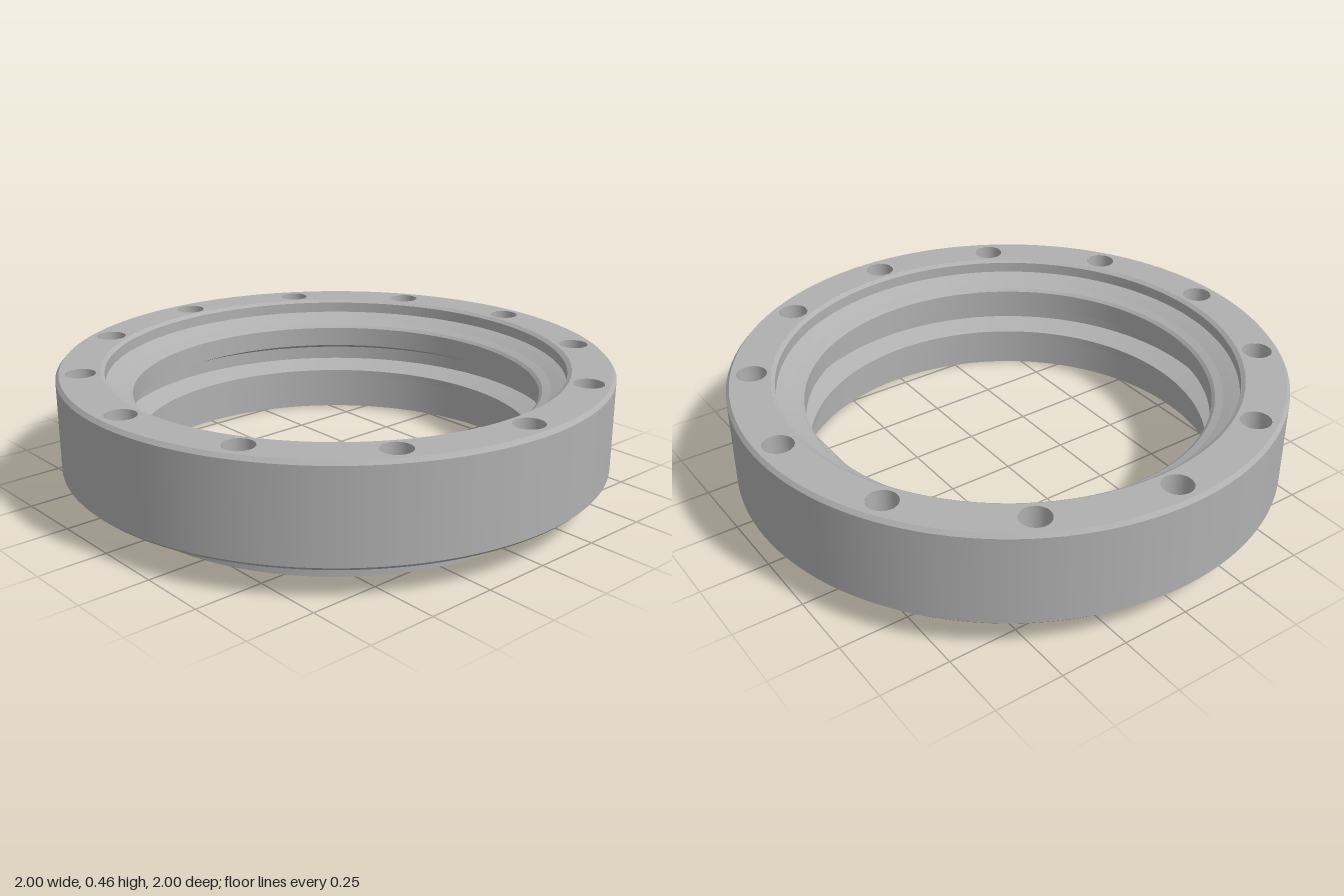
import * as THREE from 'three';
import { mergeGeometries } from 'three/addons/utils/BufferGeometryUtils.js';

const SEGMENTS = 128;
const TOP = 0.46, FLANGE_BOTTOM = 0.105;

// Lathe each span on its own, so every ring edge stays sharp
function turned(profile, segments = SEGMENTS) {
  const spans = [];
  for (let i = 0; i < profile.length - 1; i++) {
    const pair = [profile[i], profile[i + 1]].map(([r, y]) => new THREE.Vector2(r, y));
    spans.push(new THREE.LatheGeometry(pair, segments));
  }
  return mergeGeometries(spans);
}

export function createModel() {
  const model = new THREE.Group();
  const steel = new THREE.MeshStandardMaterial({ color: 0xb0b0b0 });
  steel.name = 'grey steel';

  const add = (name, geometry) => {
    const mesh = new THREE.Mesh(geometry, steel);
    mesh.name = name;
    model.add(mesh);
    return mesh;
  };

  // Twelve bolt positions around the flange
  const holeRadius = 0.054, boltCircle = 0.913;
  const bolts = Array.from({ length: 12 }, (_, i) => {
    const a = (i * Math.PI) / 6;
    return [boltCircle * Math.cos(a), boltCircle * Math.sin(a)];
  });

  // Flat drilled ring, facing up (side 1) or down (side -1)
  const drilledFace = (outer, inner, y, side) => {
    const shape = new THREE.Shape().absarc(0, 0, outer, 0, Math.PI * 2);
    shape.holes.push(new THREE.Path().absarc(0, 0, inner, 0, Math.PI * 2, true));
    for (const [x, z] of bolts) {
      shape.holes.push(new THREE.Path().absarc(x, z, holeRadius, 0, Math.PI * 2, true));
    }
    return new THREE.ShapeGeometry(shape, SEGMENTS)
      .rotateX((-side * Math.PI) / 2).translate(0, y, 0);
  };

  // Flange rim with chamfered edges
  add('flangeRim', turned([[0.988, FLANGE_BOTTOM], [1, 0.117], [1, 0.446], [0.988, TOP]]));
  add('flangeTop', drilledFace(0.988, 0.845, TOP, 1));
  add('flangeUnderside', drilledFace(0.988, 0.82, FLANGE_BOTTOM, -1));

  // Spigot below the flange, with a small relief at its root
  add('spigot', turned([[0.79, 0], [0.828, 0], [0.828, 0.09], [0.82, 0.096], [0.82, FLANGE_BOTTOM]]));

  // Stepped seat at the top of the bore
  add('stepSeat', turned([
    [0.845, TOP], [0.83, 0.45], [0.83, 0.41], [0.807, 0.40],
    [0.775, 0.385], [0.746, 0.375], [0.735, 0.365],
  ]));

  // Bore with a tapered seal groove between two lips
  add('sealGroove', turned([
    [0.735, 0.365], [0.735, 0.29], [0.81, 0.26], [0.81, 0.21], [0.73, 0.18], [0.73, 0.152],
  ]));

  // Wider recess under the lower lip
  add('lowerRecess', turned([[0.73, 0.152], [0.79, 0.152], [0.79, 0]]));

  // Walls of the through holes, facing inward
  const holeWall = turned([[holeRadius, TOP], [holeRadius, FLANGE_BOTTOM]], 32);
  bolts.forEach(([x, z], i) => {
    add(`boltHole${i + 1}`, holeWall).position.set(x, 0, z);
  });

  return model;
}
